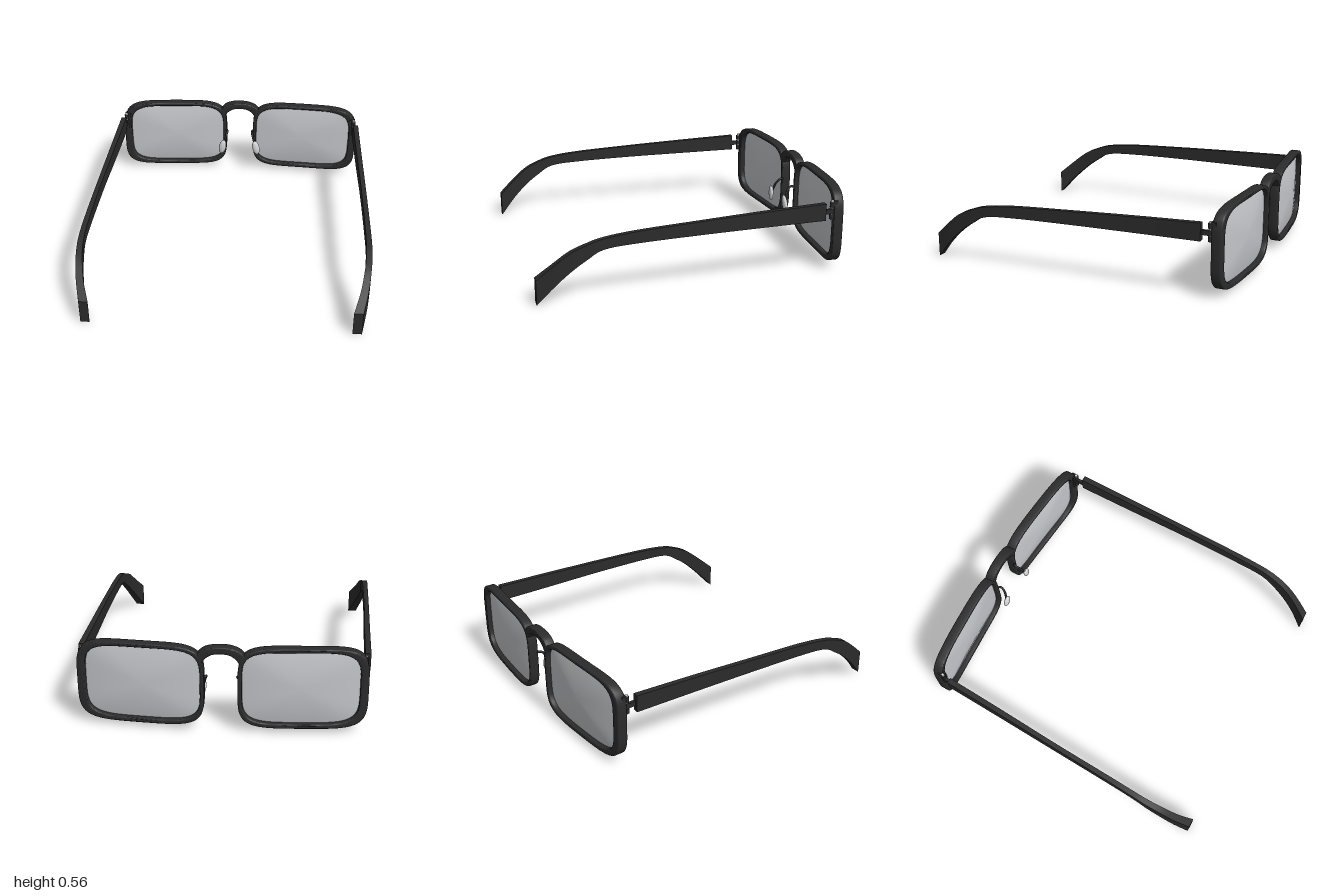
import * as THREE from 'three';
import { mergeVertices, toCreasedNormals } from 'three/addons/utils/BufferGeometryUtils.js';

const FRONT = -1, DEPTH = 0.064;
const bend = x => 0.072 * x * x;

// Moves every vertex of a geometry by a rule
function warp(geo, rule) {
  const p = geo.attributes.position, v = new THREE.Vector3();
  for (let i = 0; i < p.count; i++) {
    rule(v.fromBufferAttribute(p, i));
    p.setXYZ(i, v.x, v.y, v.z);
  }
  return geo;
}

// Reflects a geometry in x and restores the winding
function mirrored(geo) {
  const g = geo.clone().scale(-1, 1, 1);
  const idx = g.index ? Array.from(g.index.array) : Array.from({ length: g.attributes.position.count }, (_, i) => i);
  g.setIndex(idx.reverse());
  return g;
}

// Soft-cornered rectangle as a superellipse
const POWER = 4.6;
function soft(t) {
  const f = c => Math.sign(c) * Math.pow(Math.abs(c), 2 / POWER);
  return [f(Math.cos(t)), f(Math.sin(t))];
}
function outline(cx, cy, a, b) {
  return Array.from({ length: 96 }, (_, i) => {
    const [x, y] = soft((i / 96) * Math.PI * 2);
    return new THREE.Vector2(cx + a * x, cy + b * y);
  });
}

function extrudeBent(shape, bevel) {
  const g = new THREE.ExtrudeGeometry(shape, {
    depth: DEPTH - 2 * bevel, bevelEnabled: true, bevelThickness: bevel,
    bevelSize: bevel, bevelOffset: -bevel, bevelSegments: 3, curveSegments: 24,
  });
  g.translate(0, 0, FRONT + bevel);
  warp(g, v => { v.z += bend(v.x); });
  return toCreasedNormals(g, 0.7);
}

function rimGeometry() {
  const shape = new THREE.Shape(outline(0.488, 0.2925, 0.388, 0.2625));
  shape.holes.push(new THREE.Path(outline(0.475, 0.2945, 0.35, 0.235)));
  return extrudeBent(shape, 0.008);
}

// Lens: sphere flattened into a domed, soft-cornered pane
function lensGeometry() {
  let g = new THREE.SphereGeometry(1, 96, 14).rotateX(Math.PI / 2);
  g.deleteAttribute('uv');
  g.deleteAttribute('normal');
  g = mergeVertices(g, 1e-5);
  warp(g, v => {
    const r = Math.min(1, Math.hypot(v.x, v.y));
    const [x, y] = soft(Math.atan2(v.y, v.x));
    const side = Math.sign(v.z);
    v.set(0.475 + 0.354 * r * x, 0.2945 + 0.239 * r * y, side * 0.027 * (1 - r * r));
    v.z += FRONT + DEPTH / 2 + bend(v.x);
  });
  g.computeVertexNormals();
  return g;
}

// Temple: a box following stations of [z, bottom, top, inner x, outer x]
function templeGeometry() {
  const stations = [
    [-0.82, 0.36, 0.47, 0.850, 0.886], [-0.4, 0.358, 0.456, 0.862, 0.896],
    [0, 0.355, 0.44, 0.876, 0.907], [0.4, 0.347, 0.42, 0.884, 0.917],
    [0.6, 0.33, 0.397, 0.887, 0.922], [0.7, 0.277, 0.368, 0.884, 0.922],
    [0.8, 0.205, 0.323, 0.872, 0.914], [0.9, 0.112, 0.245, 0.85, 0.898],
    [1, 0, 0.157, 0.812, 0.87],
  ];
  const path = (a, b) => new THREE.CatmullRomCurve3(
    stations.map(s => new THREE.Vector3(s[a], s[b], s[0])), false, 'catmullrom', 0.5);
  const heights = path(1, 2), widths = path(3, 4);
  const g = warp(new THREE.BoxGeometry(1, 1, 1, 1, 1, 48), v => {
    const t = THREE.MathUtils.clamp(v.z + 0.5, 0, 1);
    const h = heights.getPoint(t), w = widths.getPoint(t);
    v.set(v.x < 0 ? w.x : w.y, v.y < 0 ? h.x : h.y, h.z);
  });
  g.computeVertexNormals();
  return g;
}

function bridgeGeometry() {
  const s = new THREE.Shape();
  const v = (x, y) => new THREE.Vector2(x, y);
  s.moveTo(-0.15, 0.49);
  s.splineThru([v(-0.11, 0.532), v(-0.055, 0.552), v(0, 0.556), v(0.055, 0.552), v(0.11, 0.532), v(0.15, 0.49)]);
  s.lineTo(0.113, 0.447);
  s.splineThru([v(0.088, 0.482), v(0.05, 0.506), v(0, 0.512), v(-0.05, 0.506), v(-0.088, 0.482), v(-0.113, 0.447)]);
  s.closePath();
  return extrudeBent(s, 0.007);
}

export function createModel() {
  const root = new THREE.Group();
  root.name = 'eyeglasses';
  const mat = (name, color) => Object.assign(new THREE.MeshStandardMaterial({ color }), { name });
  const black = mat('black plastic', 0x2b2b2b);
  const glass = mat('lens grey', 0xc6c8cc);
  const pale = mat('pale silicone', 0xdedfe1);

  const add = (name, geo, material, parent = root) => {
    const m = new THREE.Mesh(geo, material);
    m.name = name;
    parent.add(m);
  };
  const box = (w, h, d, x, y, z) => new THREE.BoxGeometry(w, h, d).translate(x, y, z);
  const pin = (r, h, x, y, z) => new THREE.CylinderGeometry(r, r, h, 16).translate(x, y, z);

  add('bridge', bridgeGeometry(), black);

  // Nose pad and its curved wire arm
  const pad = new THREE.SphereGeometry(1, 24, 16).scale(0.027, 0.061, 0.016);
  pad.rotateY(0.15).rotateZ(0.2).rotateX(0.1).translate(0.128, 0.223, -0.866);
  const arm = new THREE.TubeGeometry(new THREE.CatmullRomCurve3([
    new THREE.Vector3(0.108, 0.33, -0.945), new THREE.Vector3(0.094, 0.335, -0.925),
    new THREE.Vector3(0.1, 0.31, -0.895), new THREE.Vector3(0.122, 0.24, -0.872),
  ]), 16, 0.008, 8);

  const parts = [
    ['rim', rimGeometry(), black],
    ['lens', lensGeometry(), glass],
    ['temple', templeGeometry(), black],
    ['nosePad', pad, pale],
    ['nosePadArm', arm, black],
    ['hingePlate', box(0.04, 0.125, 0.03, 0.847, 0.415, -0.893), black],
    ['hingeTongue', box(0.02, 0.03, 0.06, 0.86, 0.41, -0.84), black],
    ['hingeScrew', pin(0.009, 0.126, 0.856, 0.416, -0.872), pale],
  ];
  // Hinge knuckles
  for (const y of [0.375, 0.412, 0.452])
    parts.push(['hingeKnuckle', pin(0.015, 0.032, 0.856, y, -0.872), black]);

  for (const side of ['left', 'right']) {
    const group = new THREE.Group();
    group.name = side + 'Side';
    root.add(group);
    for (const [name, geo, material] of parts)
      add(name, side === 'left' ? geo : mirrored(geo), material, group);
  }
  return root;
}
